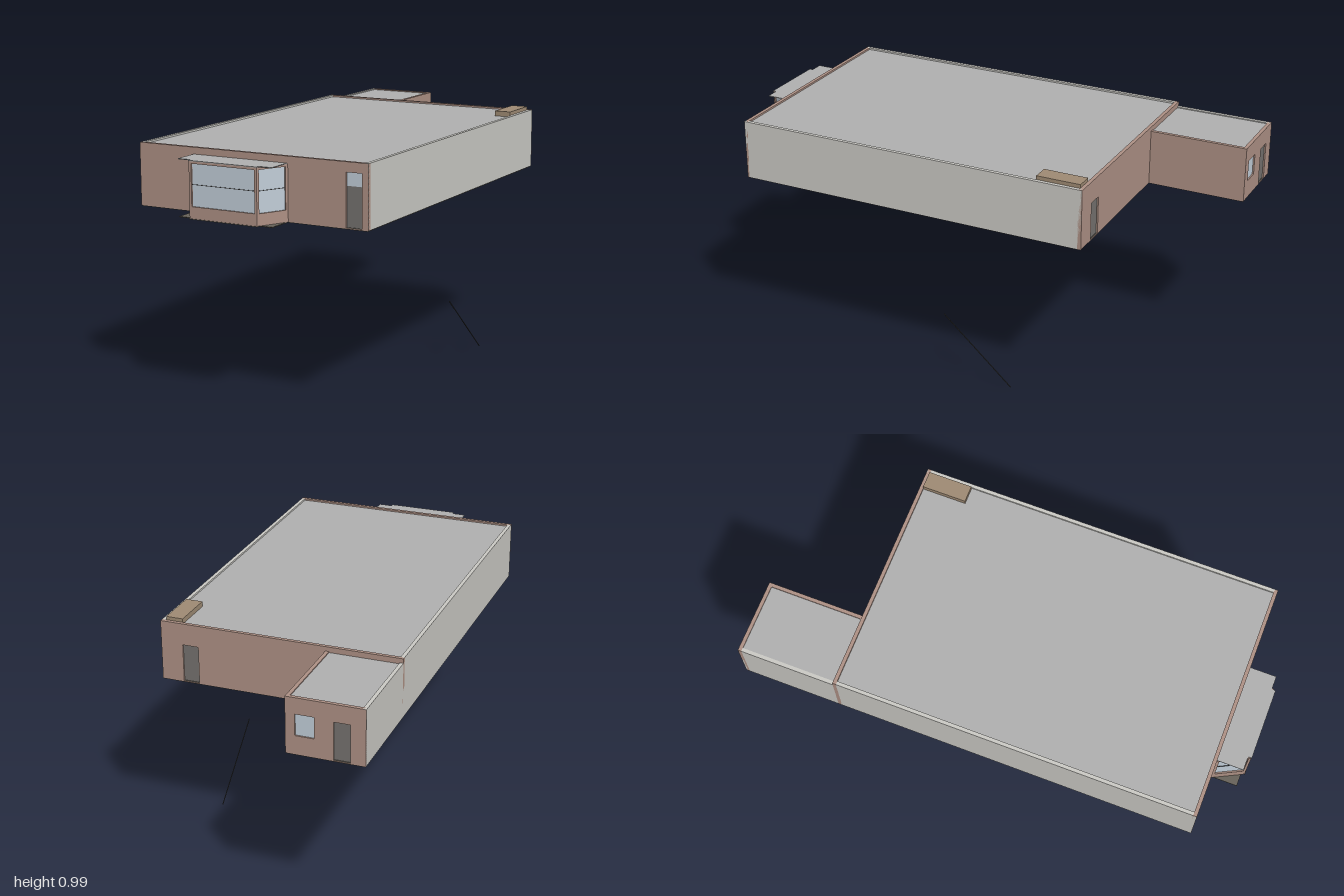
import * as THREE from 'three';

const mat = (color, side = THREE.FrontSide) => new THREE.MeshStandardMaterial({ color, side });
const M = {
  brick: mat(0xae9185), concrete: mat(0xcbcac5), roof: mat(0xb0b0b0), glass: mat(0xc2ced9),
  door: mat(0x75726f), floor: mat(0x68635a), vent: mat(0x9f8b74), dark: mat(0x3a3a3a),
};
const Y0 = 0.73, T = 0.015;

// Box given by its min and max on each axis
function box(name, m, x0, x1, y0, y1, z0, z1) {
  const mesh = new THREE.Mesh(new THREE.BoxGeometry(x1 - x0, y1 - y0, z1 - z0), m);
  mesh.position.set((x0 + x1) / 2, (y0 + y1) / 2, (z0 + z1) / 2);
  mesh.name = name;
  return mesh;
}

// Upright wall between plan points a and b (outside on the right of a->b),
// openings: { name, u: [from, to] along the wall, y: [from, to], m, bar }
function wall(name, m, a, b, top, openings = []) {
  const g = new THREE.Group();
  g.name = name;
  const dx = b[0] - a[0], dz = b[1] - a[1], len = Math.hypot(dx, dz), h = top - Y0;
  const shape = new THREE.Shape([[0, 0], [len, 0], [len, h], [0, h]].map(p => new THREE.Vector2(...p)));
  for (const o of openings) {
    const [u0, u1] = o.u, v0 = Math.max(o.y[0] - Y0, 0.002), v1 = o.y[1] - Y0;
    shape.holes.push(new THREE.Path([[u0, v0], [u0, v1], [u1, v1], [u1, v0]].map(p => new THREE.Vector2(...p))));
    // the filling is split by height into its panels, set back from the face
    let low = v0;
    for (const [part, pm, to] of o.fill) {
      const hi = to - Y0;
      g.add(box(part, pm, u0, u1, low, hi, -0.012, -0.006));
      low = hi;
    }
    if (o.bar) g.add(box('glazingBar', M.dark, u0, u1, o.bar - Y0 - 0.001, o.bar - Y0 + 0.001, -0.006, -0.004));
  }
  const geo = new THREE.ExtrudeGeometry(shape, { depth: T, bevelEnabled: false });
  geo.translate(0, 0, -T);
  const mesh = new THREE.Mesh(geo, m);
  mesh.name = name + 'Panel';
  g.add(mesh);
  g.position.set(a[0], Y0, a[1]);
  g.rotation.y = Math.atan2(-dz, dx);
  return g;
}

const doorway = (u0, u1) => ({ u: [u0, u1], y: [Y0, 0.885], fill: [['door', M.door, 0.885]] });
const pane = (u0, u1, y0, y1, bar) => ({ u: [u0, u1], y: [y0, y1], fill: [['windowGlass', M.glass, y1]], bar });

export function createModel() {
  const model = new THREE.Group();
  model.name = 'shopBuilding';
  const L = -0.49, R = 0.49, F = 0.88, B = -0.6, H = 0.973;

  // Main hall
  const hall = new THREE.Group();
  hall.name = 'mainHall';
  const entrance = { u: [0.89, 0.955], y: [Y0, 0.935], fill: [['door', M.door, 0.885], ['transomGlass', M.glass, 0.935]] };
  hall.add(
    wall('frontWall', M.brick, [L, F], [R, F], H, [entrance]),
    wall('backWall', M.brick, [R, B], [L, B], H, [doorway(0.09, 0.155)]),
    box('leftWall', M.concrete, R - T, R, Y0, H, B + 0.001, F - 0.001),
    box('rightWall', M.concrete, L, L + T, Y0, H, B + 0.001, F - 0.001),
    box('roof', M.roof, L + T, R - T, 0.955, 0.966, B + T, F - T),
    box('floor', M.floor, L + 0.003, R - 0.003, Y0 - 0.003, Y0 + 0.004, B + 0.003, F - 0.003),
    box('roofVent', M.vent, 0.403, 0.472, 0.96, 0.987, -0.585, -0.405),
  );

  // Rear annex
  const annex = new THREE.Group();
  annex.name = 'rearAnnex';
  const AR = -0.185, AB = -1, AH = 0.955;
  annex.add(
    wall('annexBackWall', M.brick, [AR, AB], [L, AB], AH, [pane(0.037, 0.11, 0.805, 0.89), doorway(0.183, 0.247)]),
    wall('annexSideWall', M.brick, [AR, B], [AR, AB], AH),
    box('annexOuterWall', M.concrete, L, L + T, Y0, AH, AB + 0.001, B),
    box('annexRoof', M.roof, L + T, AR - T, 0.94, 0.951, AB + T, B),
    box('annexFloor', M.floor, L + 0.003, AR - 0.003, Y0 - 0.003, Y0 + 0.004, AB + 0.003, B),
  );

  // Splayed bay window under a straight canopy
  const bay = new THREE.Group();
  bay.name = 'bayWindow';
  const plan = [[-0.25, F], [-0.19, 0.998], [0.1, 0.998], [0.16, F]], top = 0.944;
  for (let i = 0; i < 3; i++) {
    const [a, b] = [plan[i], plan[i + 1]];
    const len = Math.hypot(b[0] - a[0], b[1] - a[1]);
    bay.add(wall(['baySideRight', 'bayFront', 'baySideLeft'][i], M.brick, a, b, top,
      [pane(0.01, len - 0.01, 0.775, 0.935, 0.857)]));
  }
  bay.add(
    box('bayCanopy', M.roof, -0.246, 0.156, top, top + 0.003, F, 0.985),
    box('bayFloor', M.floor, -0.246, 0.156, Y0 - 0.003, Y0, F, 0.985),
  );
  // canopy and floor noses over the bay front
  for (const [name, m, y] of [['canopyNose', M.roof, top], ['floorNose', M.floor, Y0 - 0.003]])
    bay.add(box(name, m, -0.19, 0.1, y, y + 0.003, 0.985, 1));

  // Slanted thin rod below the building
  const from = new THREE.Vector3(0.407, 0.264, 0.027), to = new THREE.Vector3(0.407, 0.001, -0.272);
  const rod = new THREE.Mesh(new THREE.BoxGeometry(0.003, 0.003, from.distanceTo(to)), M.dark);
  rod.name = 'slantedRod';
  rod.position.copy(from).add(to).multiplyScalar(0.5);
  rod.lookAt(to);

  model.add(hall, annex, bay, rod);
  return model;
}
